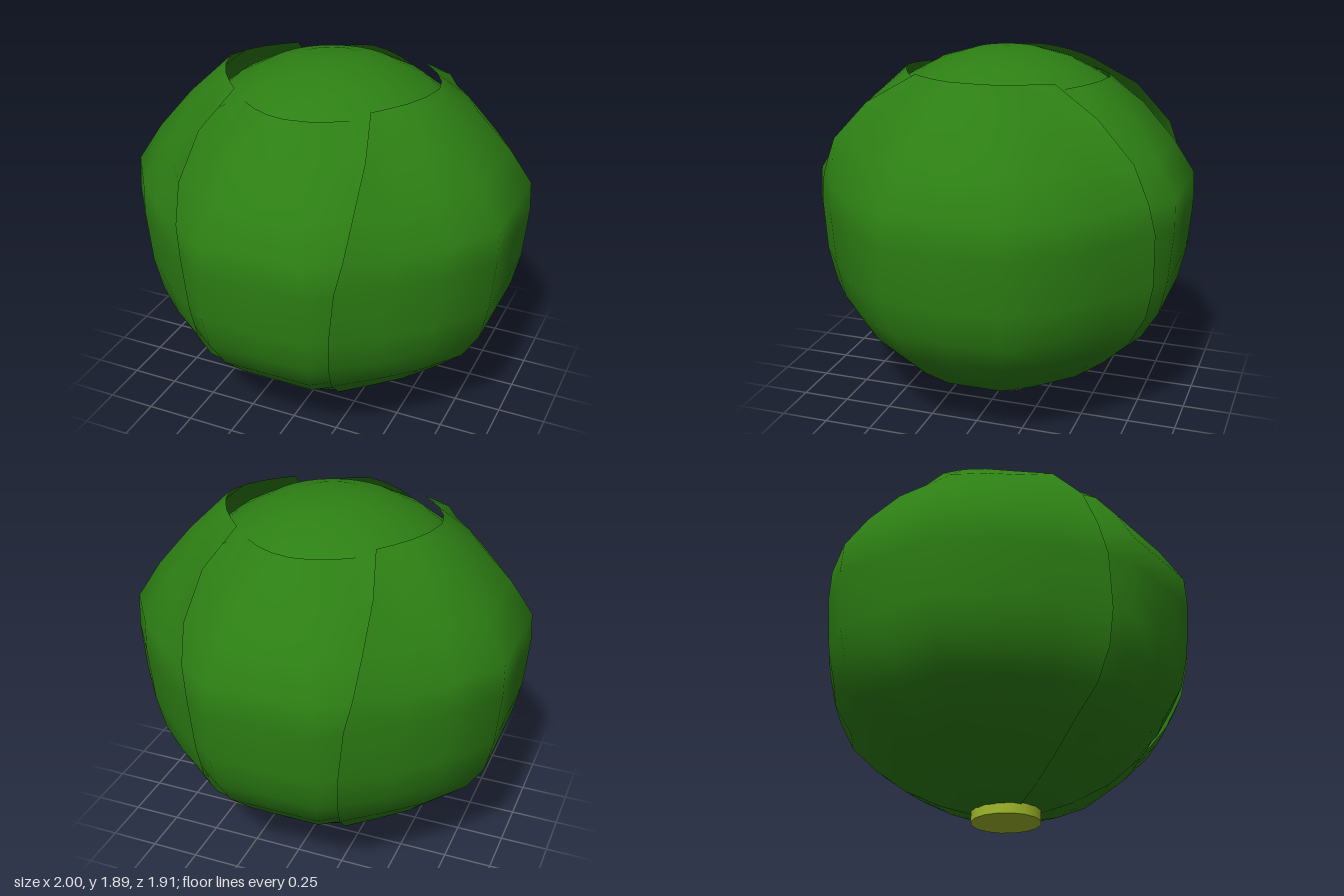
import * as THREE from 'three';

const green = new THREE.MeshStandardMaterial({ color: 0x2d7f14, side: THREE.DoubleSide });
const yellow = new THREE.MeshStandardMaterial({ color: 0xa3b92a });

// Leaf rows from the rim down: radius, height, half angle (degrees), edge radius factor
const ROWS = [
  [0.57, 1.81, 45, 0.89],
  [0.72, 1.65, 54, 1.02],
  [0.88, 1.45, 60, 1.02],
  [0.995, 1.26, 63, 0.96],
  [1.0, 1.1, 65.5, 0.97],
  [0.975, 0.82, 67, 0.98],
  [0.935, 0.64, 67, 0.98],
  [0.84, 0.48, 66, 0.99],
  [0.70, 0.34, 63, 0.99],
  [0.53, 0.21, 61, 0.99],
  [0.34, 0.12, 60, 0.99],
  [0.17, 0.07, 60, 1],
  [0.0, 0.055, 60, 1],
];
// Columns across a leaf: fraction of the half angle
const COLS = [-1, -0.76, -0.52, -0.25, 0, 0.25, 0.52, 0.76, 1];

// Cupped leaf opening towards +x, with a slightly faceted cross-section
function leafGeometry() {
  const pos = [], index = [], n = COLS.length;
  ROWS.forEach(([r, y, half, edge], i) => {
    COLS.forEach((c, j) => {
      const a = THREE.MathUtils.degToRad(half) * c, f = Math.abs(c);
      let k = 1;
      if (f === 0.25) k = i === 0 ? 0.97 : 1 / Math.cos(a);
      else if (f === 0.52) k = i === 0 ? 0.93 : 0.98;
      else if (f === 0.76) k = i === 0 ? 0.9 : 0.955;
      else if (f === 1) k = edge;
      pos.push(r * k * Math.cos(a), y - (i === 0 ? 0.02 * f : 0), r * k * Math.sin(a));
      if (i < ROWS.length - 1 && j < n - 1) {
        const p = i * n + j;
        index.push(p, p + 1, p + n, p + 1, p + n + 1, p + n);
      }
    });
  });
  const g = new THREE.BufferGeometry();
  g.setAttribute('position', new THREE.Float32BufferAttribute(pos, 3));
  g.setIndex(index);
  g.computeVertexNormals();
  return g;
}

export function createModel() {
  const group = new THREE.Group();
  const add = (name, geometry, material) => {
    const mesh = new THREE.Mesh(geometry, material);
    mesh.name = name;
    group.add(mesh);
    return mesh;
  };

  // Round heart showing at the top
  add('heart', new THREE.SphereGeometry(0.915, 32, 16), green).position.y = 0.975;

  // Four overlapping leaves; the front and back pair tuck under the side pair
  const leaf = leafGeometry();
  ['leftLeaf', 'backLeaf', 'rightLeaf', 'frontLeaf'].forEach((name, i) => {
    const mesh = add(name, leaf, green);
    mesh.rotation.y = i * Math.PI / 2;
    if (i % 2) {
      mesh.scale.set(0.953, 0.965, 0.945);
      mesh.position.y = 0.02;
    }
  });

  // Cut stem with a slightly domed underside
  const profile = [[0, 0], [0.09, 0.008], [0.18, 0.022], [0.18, 0.022], [0.18, 0.11]]
    .map(([x, y]) => new THREE.Vector2(x, y));
  add('stem', new THREE.LatheGeometry(profile, 16), yellow);

  return group;
}
